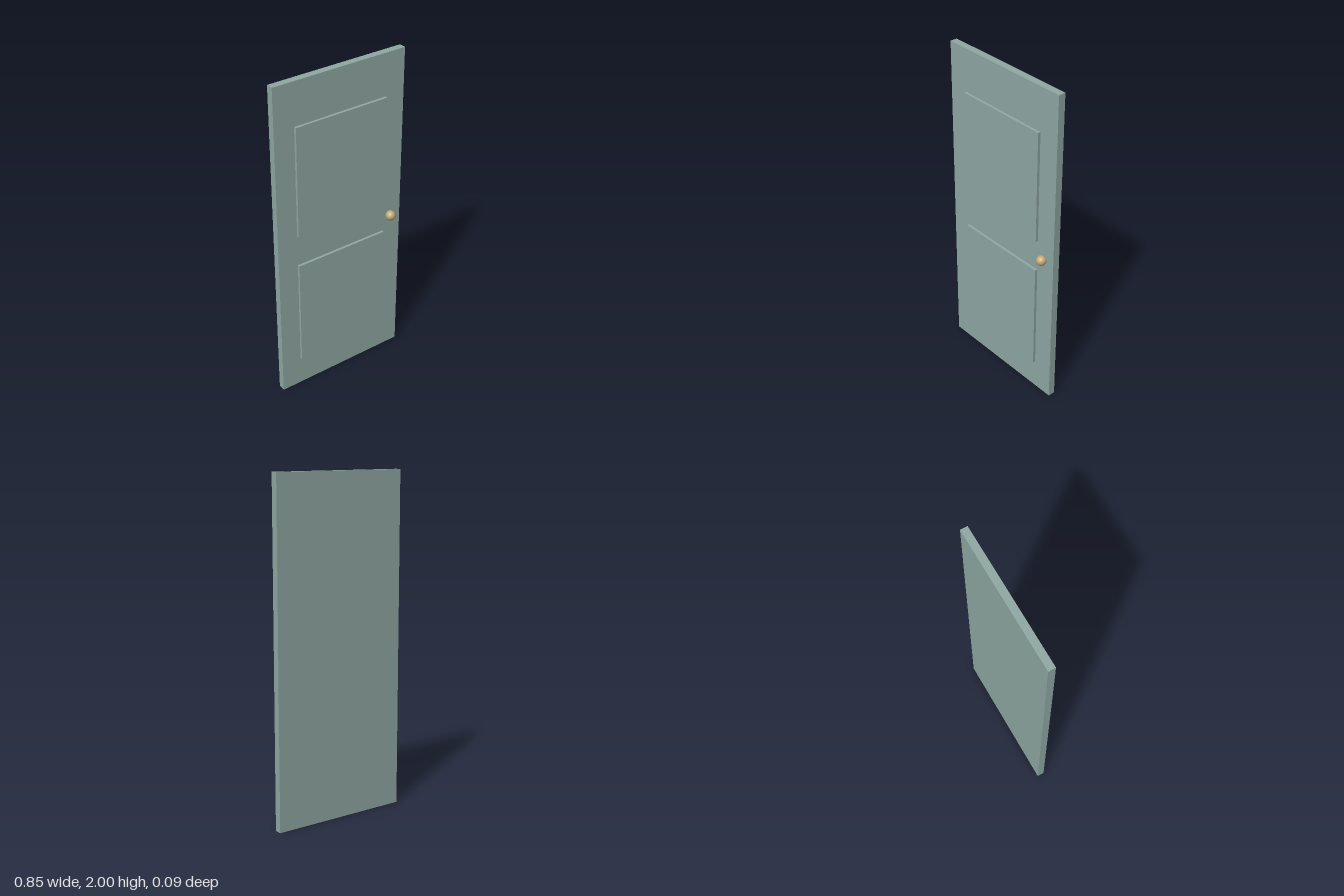
import * as THREE from 'three';

export function createModel() {
  const door = new THREE.Group();
  door.name = 'door';

  const paint = new THREE.MeshStandardMaterial({ color: 0x8fa8a3 });
  paint.name = 'sage paint';
  const brass = new THREE.MeshStandardMaterial({ color: 0xc2aa78 });
  brass.name = 'brass';

  const add = (name, geometry, material, x, y, z) => {
    const mesh = new THREE.Mesh(geometry, material);
    mesh.name = name;
    mesh.position.set(x, y, z);
    door.add(mesh);
  };

  // Door leaf
  add('slab', new THREE.BoxGeometry(0.853, 2, 0.043), paint, 0, 1, -0.023);

  // Raised panels on the front, slightly sunk into the leaf
  const panel = new THREE.BoxGeometry(0.6, 0.68, 0.026);
  add('upperPanel', panel, paint, 0, 1.402, 0.002);
  add('lowerPanel', panel, paint, 0, 0.527, 0.002);

  // Round knob
  add('knob', new THREE.SphereGeometry(0.03, 24, 16), brass, 0.348, 0.964, 0.015);

  return door;
}
